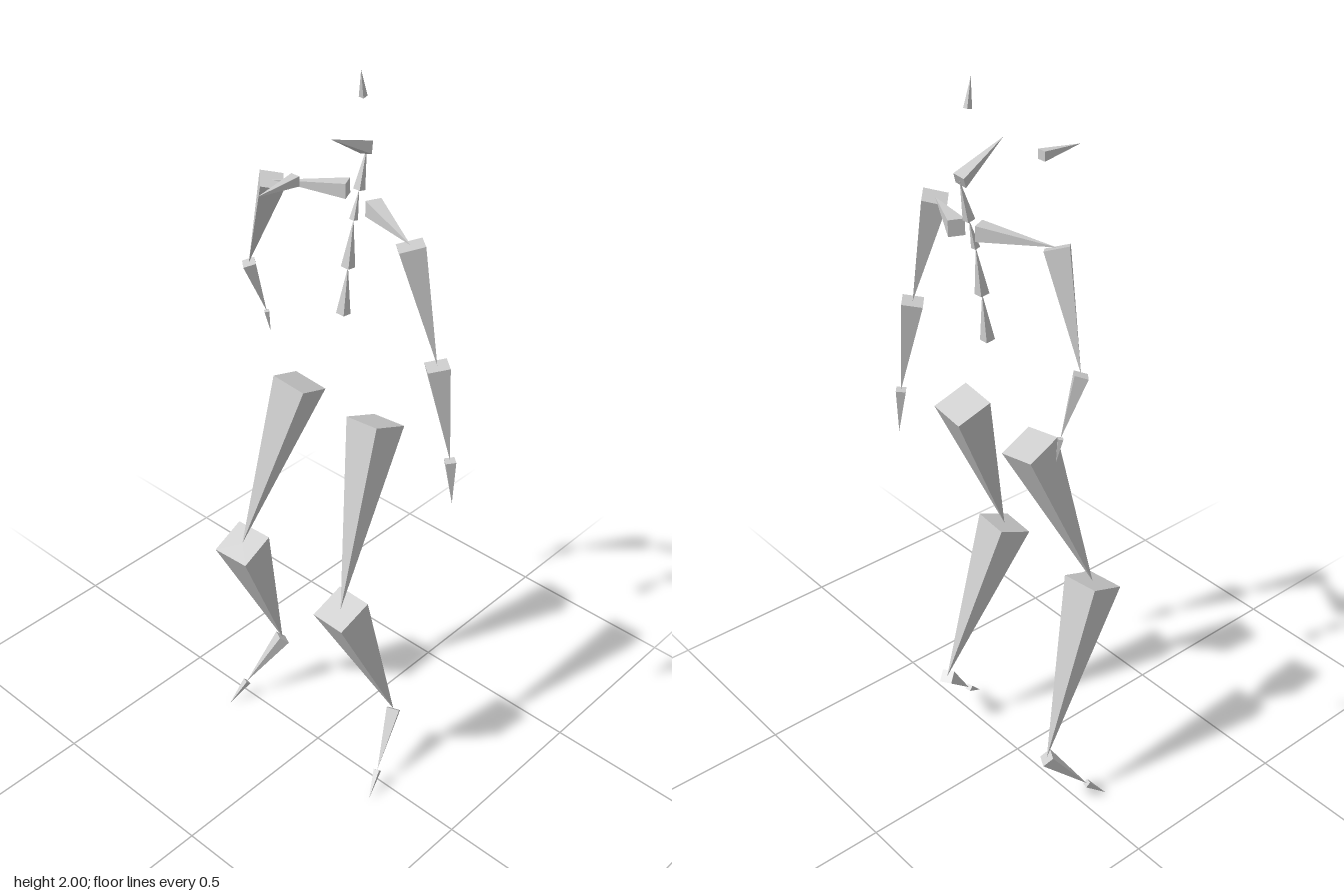
import * as THREE from 'three';

// Each bone is a four-sided pyramid: base centre, tip, and a direction for the base edges.
const WIDTH_RATIO = 0.203;

export function createModel() {
  const model = new THREE.Group();
  model.name = 'skeletonRig';
  const boneGray = new THREE.MeshStandardMaterial({ color: 0xcccccc });
  boneGray.name = 'boneGray';

  function bone(name, base, tip, edge = [1, 0, 0]) {
    const start = new THREE.Vector3(...base);
    const axis = new THREE.Vector3(...tip).sub(start);
    const length = axis.length();
    axis.normalize();
    const side = new THREE.Vector3(...edge);
    side.addScaledVector(axis, -side.dot(axis)).normalize();

    const cone = new THREE.ConeGeometry(length * WIDTH_RATIO / Math.SQRT2, length, 4, 1);
    cone.rotateY(Math.PI / 4);
    cone.translate(0, length / 2, 0);
    cone.applyMatrix4(new THREE.Matrix4().makeBasis(side, axis, side.clone().cross(axis)));
    cone.translate(start.x, start.y, start.z);
    const geometry = cone.toNonIndexed();
    geometry.computeVertexNormals(); // flat faces

    const mesh = new THREE.Mesh(geometry, boneGray);
    mesh.name = name;
    model.add(mesh);
  }

  // Bones joined end to end; edges gives the base direction of each
  function chain(names, joints, edges) {
    names.forEach((name, i) => bone(name, joints[i], joints[i + 1], edges[i]));
  }

  // Legs
  const leg = ['Thigh', 'Shin', 'Foot', 'Toe'];
  chain(leg.map(n => 'right' + n), [
    [-0.139, 1.132, -0.079], [-0.193, 0.674, 0.092], [-0.23, 0.193, -0.092],
    [-0.274, 0.063, 0.017], [-0.289, 0.003, 0.075],
  ], [[1, 0, -0.11], [1, 0, -0.07], [1, 0.6, 0], [1, 0.2, 0]]);
  chain(leg.map(n => 'left' + n), [
    [0.119, 1.13, -0.08], [0.171, 0.661, 0.098], [0.203, 0.193, -0.092],
    [0.244, 0.063, 0.018], [0.265, 0.008, 0.075],
  ], [[1, 0, 0.08], [1, 0, 0.05], [1, -0.6, 0], [1, -0.2, 0]]);

  // Arms
  const arm = ['Collarbone', 'UpperArm', 'Forearm', 'Hand'];
  chain(arm.map(n => 'right' + n), [
    [-0.047, 1.678, -0.152], [-0.217, 1.673, -0.07], [-0.322, 1.407, -0.087],
    [-0.308, 1.253, -0.133], [-0.304, 1.19, -0.142],
  ], [[0, 1, 0], [0.76, 0, 0.65], [0.76, 0, 0.65], [0.76, 0, 0.65]]);
  chain(arm.map(n => 'left' + n), [
    [0.035, 1.657, -0.15], [0.217, 1.652, -0.071], [0.291, 1.357, -0.095],
    [0.329, 1.094, -0.116], [0.338, 0.966, -0.122],
  ], [[0, 1, 0], [0.76, 0, 0.65], [0.76, 0, 0.65], [0.76, 0, 0.65]]);

  // Spine, neck and head
  chain(['lowerSpine', 'middleSpine', 'upperSpine', 'neck', 'head'], [
    [-0.012, 1.375, -0.102], [-0.01, 1.498, -0.115], [-0.008, 1.618, -0.13],
    [-0.007, 1.69, -0.147], [-0.006, 1.788, -0.17], [0.006, 1.853, -0.035],
  ], [[1, 0, 0], [1, 0, 0], [1, 0, 0], [1, 0, 0], [1, 0.3, 0]]);

  // Loose bones above and in front of the head
  bone('crownBone', [0.022, 1.933, -0.122], [0.028, 2, -0.107]);
  bone('faceBone', [-0.006, 1.787, 0.067], [-0.007, 1.786, 0.187]);

  return model;
}
